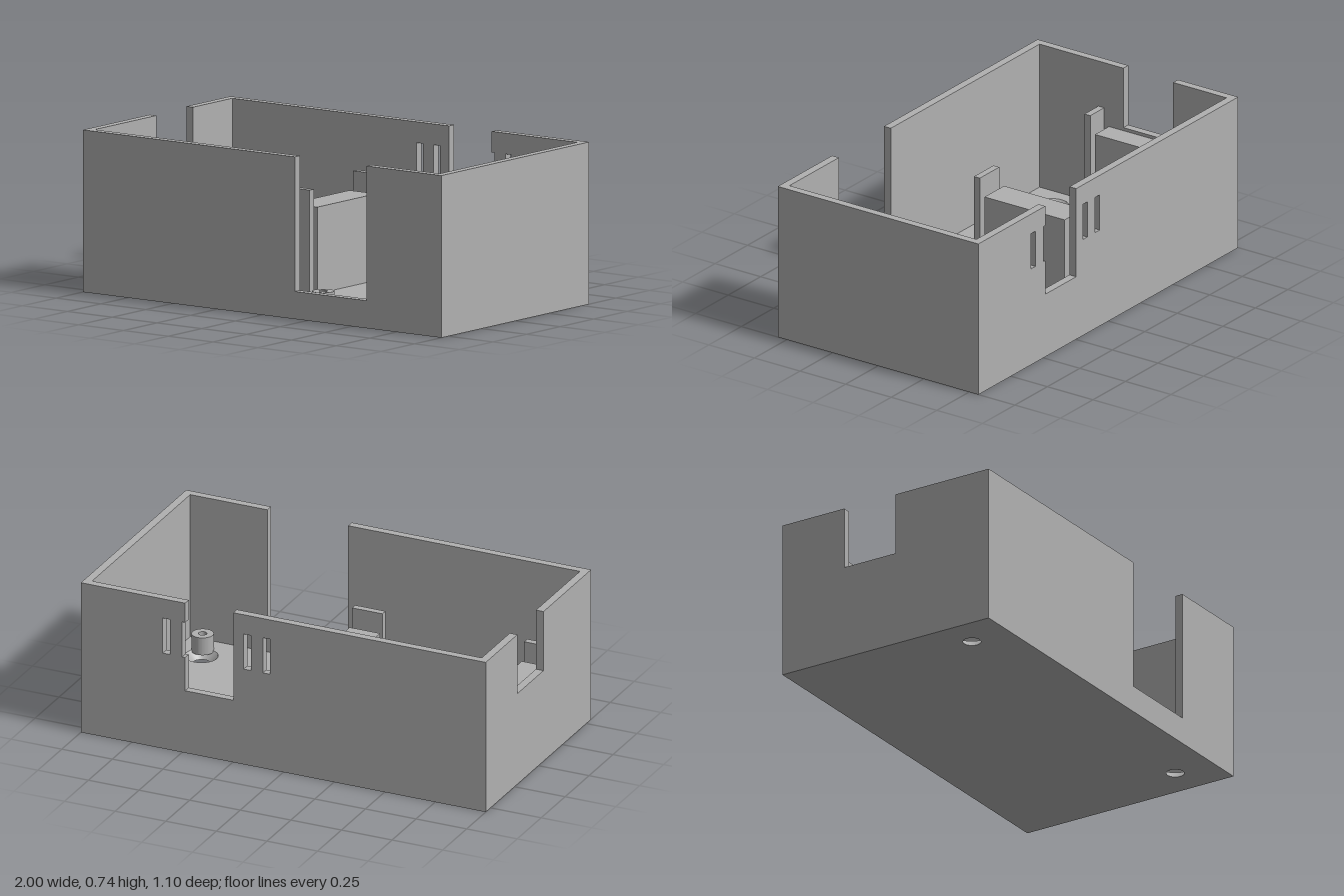
import * as THREE from 'three';

const W = 1, D = 0.55, H = 0.735, T = 0.0375; // half width, half depth, height, wall

export function createModel() {
  const model = new THREE.Group();
  const grey = new THREE.MeshStandardMaterial({ color: 0xb0b0b0, side: THREE.DoubleSide });
  grey.name = 'grey plastic';

  const add = (name, geometry, x = 0, y = 0, z = 0) => {
    const mesh = new THREE.Mesh(geometry, grey);
    mesh.name = name;
    mesh.position.set(x, y, z);
    model.add(mesh);
    return mesh;
  };
  const box = (name, x0, x1, y0, y1, z0, z1) => add(name,
    new THREE.BoxGeometry(x1 - x0, y1 - y0, z1 - z0), (x0 + x1) / 2, (y0 + y1) / 2, (z0 + z1) / 2);
  const outline = (pts) => new THREE.Shape(pts.map(([x, y]) => new THREE.Vector2(x, y)));
  const rect = (x0, x1, y0, y1) => outline([[x0, y0], [x1, y0], [x1, y1], [x0, y1]]);
  const circle = (x, y, r) => new THREE.Path().absarc(x, y, r, 0, Math.PI * 2, true);
  const extrude = (shape, depth) =>
    new THREE.ExtrudeGeometry(shape, { depth, bevelEnabled: false, curveSegments: 24 });

  // Front wall with its wide, deep cut-out
  add('frontWall', extrude(outline([[-W, 0], [W, 0], [W, H], [0.582, H], [0.582, 0.125],
    [0.182, 0.125], [0.182, H], [-W, H]]), T), 0, 0, D - T);

  // Back wall: cut-out with a slot breaking into its edge, plus three free slots
  const back = outline([[-W, 0], [W, 0], [W, H], [0.485, H], [0.485, 0.64], [0.5, 0.64],
    [0.5, 0.468], [0.485, 0.468], [0.485, 0.305], [0.247, 0.305], [0.247, H], [-W, H]]);
  for (const x of [0.066, 0.161, 0.561]) back.holes.push(rect(x, x + 0.035, 0.468, 0.64));
  add('backWall', extrude(back, T), 0, 0, -D);

  // Side walls; the one on the -x side has a cut-out
  box('leftWall', W - T, W, 0, H, -D + T, D - T);
  const side = outline([[-D + T, 0], [D - T, 0], [D - T, H], [0.22, H], [0.22, 0.445],
    [-0.053, 0.445], [-0.053, H], [-D + T, H]]);
  add('rightWall', extrude(side, T), -W, 0, 0).rotation.y = Math.PI / 2;

  // Floor faces with two countersunk screw holes
  const screws = [-0.83, 0.83], screwZ = 0.35;
  for (const [name, y, r, turn] of [['floorTop', T, 0.075, -1], ['floorUnderside', 0, 0.04, 1]]) {
    const plate = rect(-W + T, W - T, -D + T, D - T);
    for (const x of screws) plate.holes.push(circle(x, turn * screwZ, r));
    add(name, new THREE.ShapeGeometry(plate, 32), 0, y, 0).rotation.x = turn * Math.PI / 2;
  }
  for (const x of screws)
    add('countersink', new THREE.CylinderGeometry(0.075, 0.04, T, 40, 1, true), x, T / 2, screwZ);

  // Hollow standoffs
  for (const x of [0.24, 0.855]) for (const z of [-0.053, 0.415]) {
    const ring = new THREE.Shape().absarc(0, 0, 0.05, 0, Math.PI * 2);
    ring.holes.push(circle(0, 0, 0.019));
    add('standoff', extrude(ring, 0.085), x, 0.03, z).rotation.x = -Math.PI / 2;
  }

  // Two support blocks, each between a pair of taller retaining ribs
  for (const [x0, x1] of [[-W + T, -0.855], [-0.155, -0.005]]) {
    box('supportBlock', x0, x1, T, 0.43, -0.307, 0.132);
    box('backRib', x0, x1, T, 0.515, -0.365, -0.333);
    box('frontRib', x0, x1, T, 0.515, 0.158, 0.19);
  }
  return model;
}
